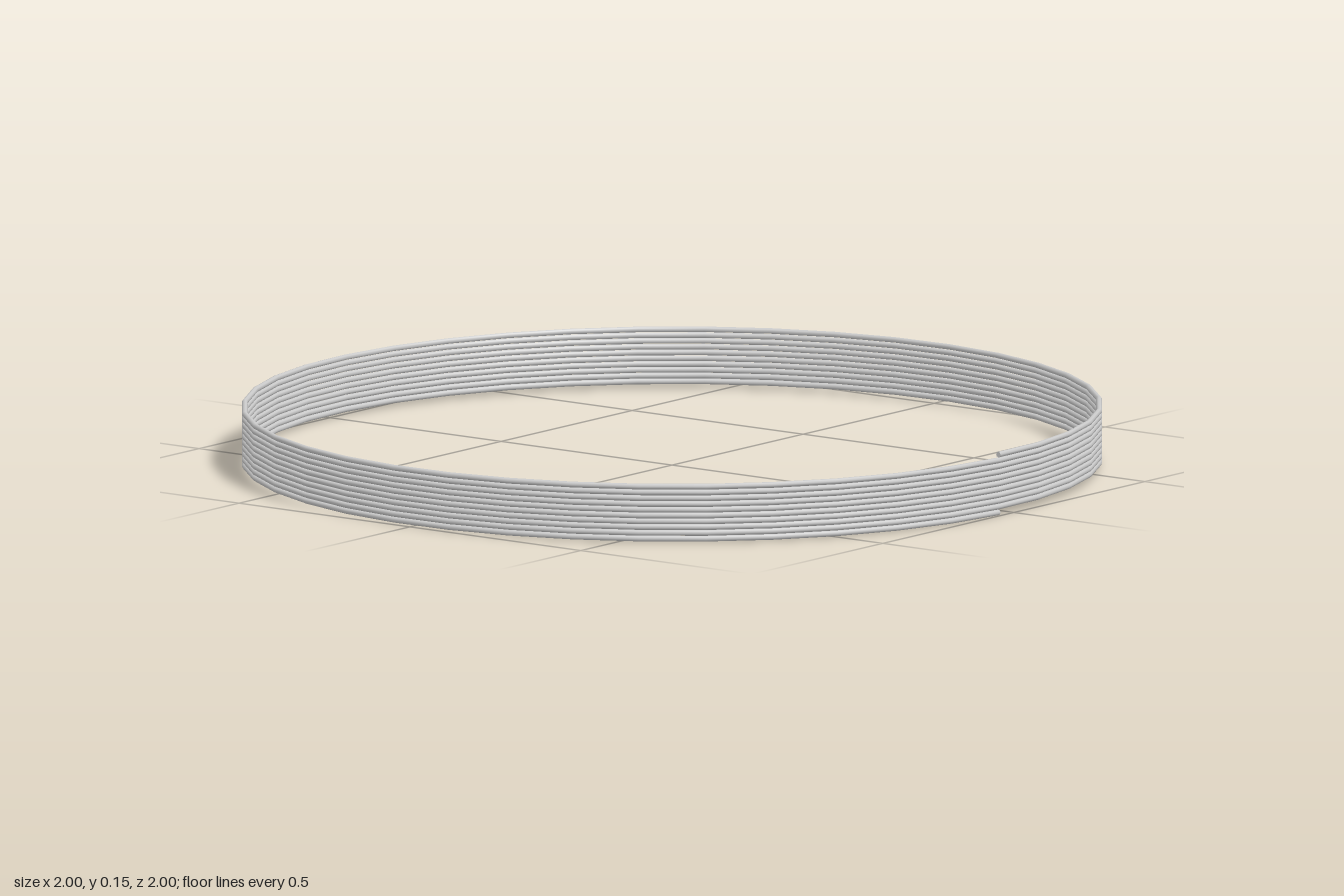
import * as THREE from 'three';

const TURNS = 10, STEPS = 40;       // coil turns and straight segments per turn
const WIRE = 0.0068;                // wire radius
const RADIUS = 0.9945;              // coil radius to the wire centre
const PITCH = (0.15 - 2 * WIRE) / TURNS;
const START = -2.9 * Math.PI / 180; // the wire begins just beside the front centre

// Rising helix that leaves the front towards -x
class Helix extends THREE.Curve {
  getPoint(t, target = new THREE.Vector3()) {
    const a = START - t * TURNS * Math.PI * 2;
    return target.set(RADIUS * Math.sin(a), WIRE + t * TURNS * PITCH, RADIUS * Math.cos(a));
  }
}

export function createModel() {
  const group = new THREE.Group();
  group.name = 'wireCoil';
  const material = new THREE.MeshStandardMaterial({ color: 0xcccccc });

  // Wound wire
  const helix = new Helix();
  helix.arcLengthDivisions = TURNS * STEPS;
  const wire = new THREE.Mesh(
    new THREE.TubeGeometry(helix, TURNS * STEPS, WIRE, 8, false), material);
  wire.name = 'coiledWire';
  group.add(wire);

  // Flat ends of the wire
  for (const [t, dir, name] of [[0, -1, 'lowerWireEnd'], [1, 1, 'upperWireEnd']]) {
    const cap = new THREE.Mesh(new THREE.CircleGeometry(WIRE, 8), material);
    cap.name = name;
    cap.position.copy(helix.getPoint(t));
    cap.lookAt(helix.getTangent(t).multiplyScalar(dir).add(cap.position));
    group.add(cap);
  }
  return group;
}
